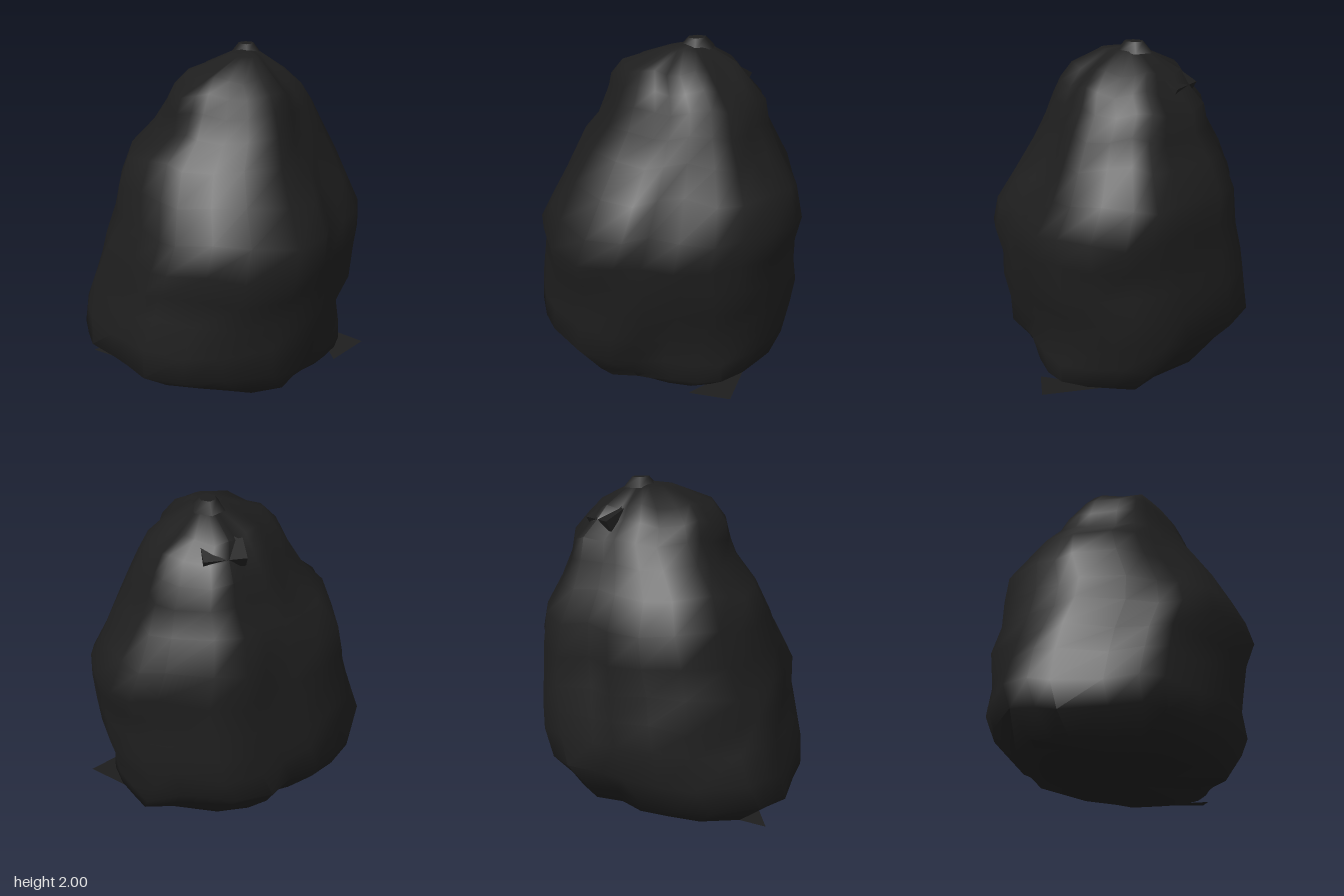
import * as THREE from 'three';
import { toCreasedNormals } from 'three/addons/utils/BufferGeometryUtils.js';

// Plan outline of the boulder, as x, z pairs running round from the back
const PLAN = [
  [-.03, -.82], [.2, -.81], [.5, -.66], [.67, -.59], [.74, -.45], [.83, -.27], [.86, -.05],
  [.82, .12], [.71, .3], [.62, .47], [.55, .61], [.35, .75], [.05, .81], [-.2, .77],
  [-.45, .7], [-.56, .61], [-.68, .46], [-.86, .23], [-.89, .1], [-.91, -.06],
  [-.77, -.34], [-.6, -.5], [-.4, -.64], [-.2, -.68],
];

// Height, then extents: min x, max x, back z, front z
const RINGS = [
  [0.01, -.46, .68, -.42, .59],
  [0.06, -.74, .75, -.56, .65],
  [0.19, -.91, .75, -.67, .78],
  [0.35, -.90, .74, -.80, .77],
  [0.53, -.85, .82, -.81, .765],
  [0.68, -.80, .83, -.80, .77],
  [0.84, -.75, .845, -.785, .815],
  [1.01, -.685, .85, -.765, .76],
  [1.20, -.645, .77, -.745, .645],
  [1.38, -.575, .69, -.65, .53],
  [1.53, -.43, .61, -.575, .44],
  [1.66, -.35, .54, -.55, .38],
  [1.76, -.28, .47, -.46, .335],
  [1.85, -.20, .36, -.40, .285],
  [1.95, .02, .22, -.22, .09],
];

// Broad dents and bulges: centre, radius, outward push
const LUMPS = [
  // left front
  [.6, .36, .48, .22, .06], [.5, .04, .45, .22, -.09], [.58, 1.0, .42, .25, -.04],
  [.62, 1.25, .2, .22, -.06], [.45, 1.45, .3, .3, -.05],
  // left back
  [.68, .2, -.42, .28, .08], [.62, .75, -.5, .3, -.05], [.7, 1.08, -.38, .2, .07],
  [.52, 1.4, -.3, .22, -.07],
  // right front
  [-.45, .45, .6, .3, .03], [-.75, .1, .35, .22, -.06], [-.5, 1.3, .22, .25, .09],
  [-.2, 1.77, .14, .22, .10],
  // right back
  [-.58, 1.08, -.4, .28, .13], [-.65, .74, -.42, .2, .08], [-.7, .46, -.42, .2, -.07],
];

function ringPoint([y, x0, x1, z0, z1], [px, pz], seed) {
  const cx = (x0 + x1) / 2, cz = (z0 + z1) / 2;
  const x = cx + (x1 - x0) / 2 * (px < 0 ? px / .91 : px / .86);
  const z = cz + (z1 - z0) / 2 * (pz < 0 ? pz / .82 : pz / .81);
  let push = 1 + .008 * Math.sin(seed * 2.3 + y * 9);
  for (const [lx, ly, lz, r, amount] of LUMPS) {
    const d2 = (x - lx) ** 2 + (y - ly) ** 2 + (z - lz) ** 2;
    push += amount * Math.exp(-2 * d2 / (r * r)) / Math.hypot(lx - cx, lz - cz);
  }
  const wave = y > .1 && y < 1.9 ? .02 * Math.sin(seed * 1.7 + y * 5) : 0;
  return [cx + (x - cx) * push, y + wave, cz + (z - cz) * push];
}

function boulderGeometry() {
  const n = PLAN.length, positions = [], index = [];
  for (const ring of RINGS) PLAN.forEach((p, i) => positions.push(...ringPoint(ring, p, i)));
  for (let r = 0; r < RINGS.length - 1; r++) {
    for (let i = 0; i < n; i++) {
      const a = r * n + i, b = r * n + (i + 1) % n;
      index.push(a, a + n, b, b, a + n, b + n);
    }
  }
  // Close the underside and the summit
  const base = positions.length / 3, top = base + 1, last = (RINGS.length - 1) * n;
  positions.push(0, 0, .05, .12, 1.98, -.12);
  for (let i = 0; i < n; i++) {
    const j = (i + 1) % n;
    index.push(base, i, j, top, last + j, last + i);
  }
  const geometry = new THREE.BufferGeometry();
  geometry.setAttribute('position', new THREE.Float32BufferAttribute(positions, 3));
  geometry.setIndex(index);
  return toCreasedNormals(geometry, 1.1);
}

// Thin pointed chip at the foot of the rock
function flakeGeometry(points) {
  const geometry = new THREE.BufferGeometry();
  geometry.setAttribute('position', new THREE.Float32BufferAttribute(points.flat(), 3));
  geometry.computeVertexNormals();
  return geometry;
}

export function createModel() {
  const model = new THREE.Group();
  model.name = 'rock';
  const stone = new THREE.MeshStandardMaterial({ color: 0x1e1e1e, side: THREE.DoubleSide });
  stone.name = 'dark stone';
  const add = (name, geometry) => {
    const mesh = new THREE.Mesh(geometry, stone);
    mesh.name = name;
    model.add(mesh);
  };

  add('boulder', boulderGeometry());
  add('leftFlake', flakeGeometry([[.91, .045, .04], [.62, .03, -.25], [.7, .005, .2]]));
  add('rightFlake', flakeGeometry([[-.86, .04, .1], [-.5, .02, .3], [-.5, .07, -.15]]));
  // Small broken nub on the summit
  const nub = new THREE.CylinderGeometry(.05, .1, .06, 6);
  nub.scale(1, 1, 1.2);
  nub.translate(.13, 1.97, -.13);
  add('summitNub', nub);
  // Ledge chipped out of the upper back
  const ledge = new THREE.BoxGeometry(.24, .07, .16);
  ledge.rotateX(-.5);
  ledge.translate(.1, 1.78, -.37);
  add('backLedge', ledge);
  return model;
}
